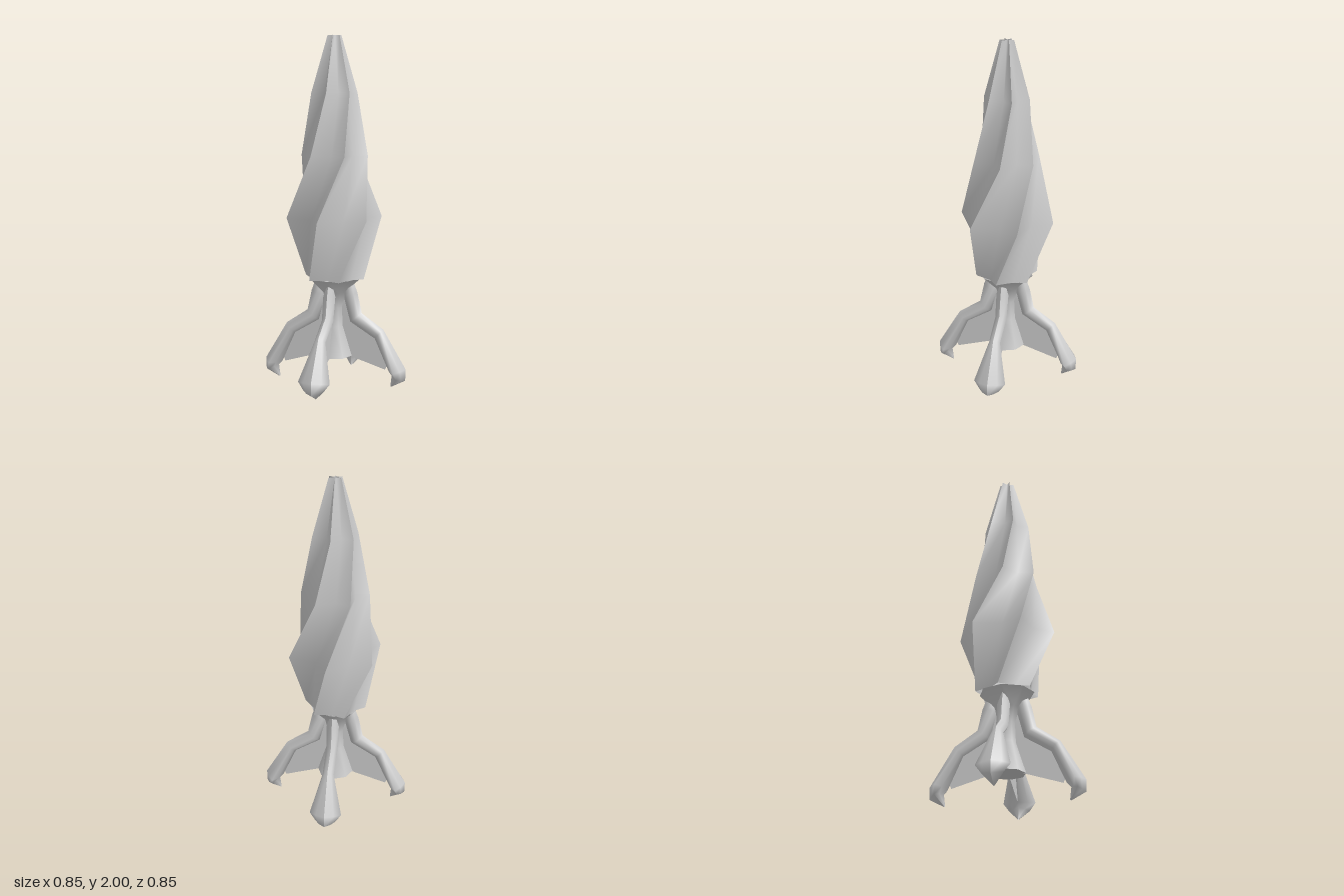
import * as THREE from 'three';

const material = new THREE.MeshStandardMaterial({ color: 0xcccccc, side: THREE.DoubleSide });
const rad = THREE.MathUtils.degToRad;

// Surface through rows of points that all have the same length
function loft(rows) {
  const n = rows[0].length;
  const index = [];
  for (let i = 0; i < rows.length - 1; i++) {
    for (let j = 0; j < n - 1; j++) {
      const a = i * n + j, b = a + 1, c = a + n, d = c + 1;
      index.push(a, b, d, a, d, c);
    }
  }
  const geometry = new THREE.BufferGeometry();
  geometry.setAttribute('position', new THREE.Float32BufferAttribute(rows.flat(2), 3));
  geometry.setIndex(index);
  geometry.computeVertexNormals();
  return geometry;
}

function addMesh(parent, name, geometry) {
  const mesh = new THREE.Mesh(geometry, material);
  mesh.name = name;
  parent.add(mesh);
  return mesh;
}

// Bud heights: y, radius of the petal edge, twist in degrees, depth factor of the valley
const BUD = [
  [0.625, 0.18, -32, 0.76],
  [0.975, 0.276, 0, 0.68],
  [1.33, 0.193, 37, 0.66],
  [1.68, 0.132, 60, 0.6],
  [2.0, 0.04, 66, 0.2],
];

// One petal: from its sharp edge across the valley and up to the next edge
function petalGeometry() {
  return loft(BUD.map(([y, r, twist, valley]) => [[0, 1], [36, valley], [60, 1]].map(([offset, k]) => {
    const a = rad(27 + twist + offset);
    return [r * k * Math.cos(a), y, -r * k * Math.sin(a)];
  })));
}

// Leg sections: distance out, height, half width, half thickness, tilt of the section in degrees
const LEG = [
  [0.085, 0.6, 0.012, 0.03, 10],
  [0.097, 0.53, 0.036, 0.043, 15],
  [0.13, 0.395, 0.034, 0.044, 38],
  [0.268, 0.307, 0.032, 0.038, 48],
  [0.375, 0.105, 0.092, 0.052, 8],
  [0.385, 0.06, 0.058, 0.042, -20],
  [0.34, 0.005, 0.004, 0.004, -40],
];

// Sections are softened diamonds, running around from the outer corner
function legGeometry() {
  return loft(LEG.map(([out, y, w, t, tilt]) => {
    const row = [];
    for (let i = 0; i <= 8; i++) {
      const a = (i * Math.PI) / 4;
      const k = i % 2 ? 0.82 : 1;
      const depth = t * k * Math.cos(a);
      row.push([out + depth * Math.cos(rad(tilt)), y + depth * Math.sin(rad(tilt)), w * k * Math.sin(a)]);
    }
    return row;
  }));
}

function finGeometry() {
  const outline = [[0.03, 0.56], [0.09, 0.54], [0.13, 0.39], [0.265, 0.3], [0.335, 0.17], [0.305, 0.1], [0.09, 0.165], [0.03, 0.3]];
  return new THREE.ShapeGeometry(new THREE.Shape(outline.map(([x, y]) => new THREE.Vector2(x, y))));
}

export function createModel() {
  const model = new THREE.Group();
  model.name = 'clawedBud';

  // Six twisted petals
  const bud = new THREE.Group();
  bud.name = 'bud';
  const petal = petalGeometry();
  for (let i = 0; i < 6; i++) {
    addMesh(bud, 'petal', petal).rotation.y = (i * Math.PI) / 3;
  }
  model.add(bud);

  // Stem with a flared collar and foot, closed underneath
  const profile = [[0.105, 0.165], [0.05, 0.34], [0.045, 0.45], [0.07, 0.54], [0.155, 0.626]];
  addMesh(model, 'stem', new THREE.LatheGeometry(profile.map(([x, y]) => new THREE.Vector2(x, y)), 8));
  const base = addMesh(model, 'stemBase', new THREE.CircleGeometry(0.105, 8));
  base.rotation.x = Math.PI / 2;
  base.position.y = 0.165;

  // Four clawed legs, each with a flat fin behind it
  const leg = legGeometry();
  const fin = finGeometry();
  for (let i = 0; i < 4; i++) {
    const group = new THREE.Group();
    group.name = 'clawLeg';
    addMesh(group, 'leg', leg);
    addMesh(group, 'fin', fin);
    group.rotation.y = (i * Math.PI) / 2;
    model.add(group);
  }
  return model;
}
